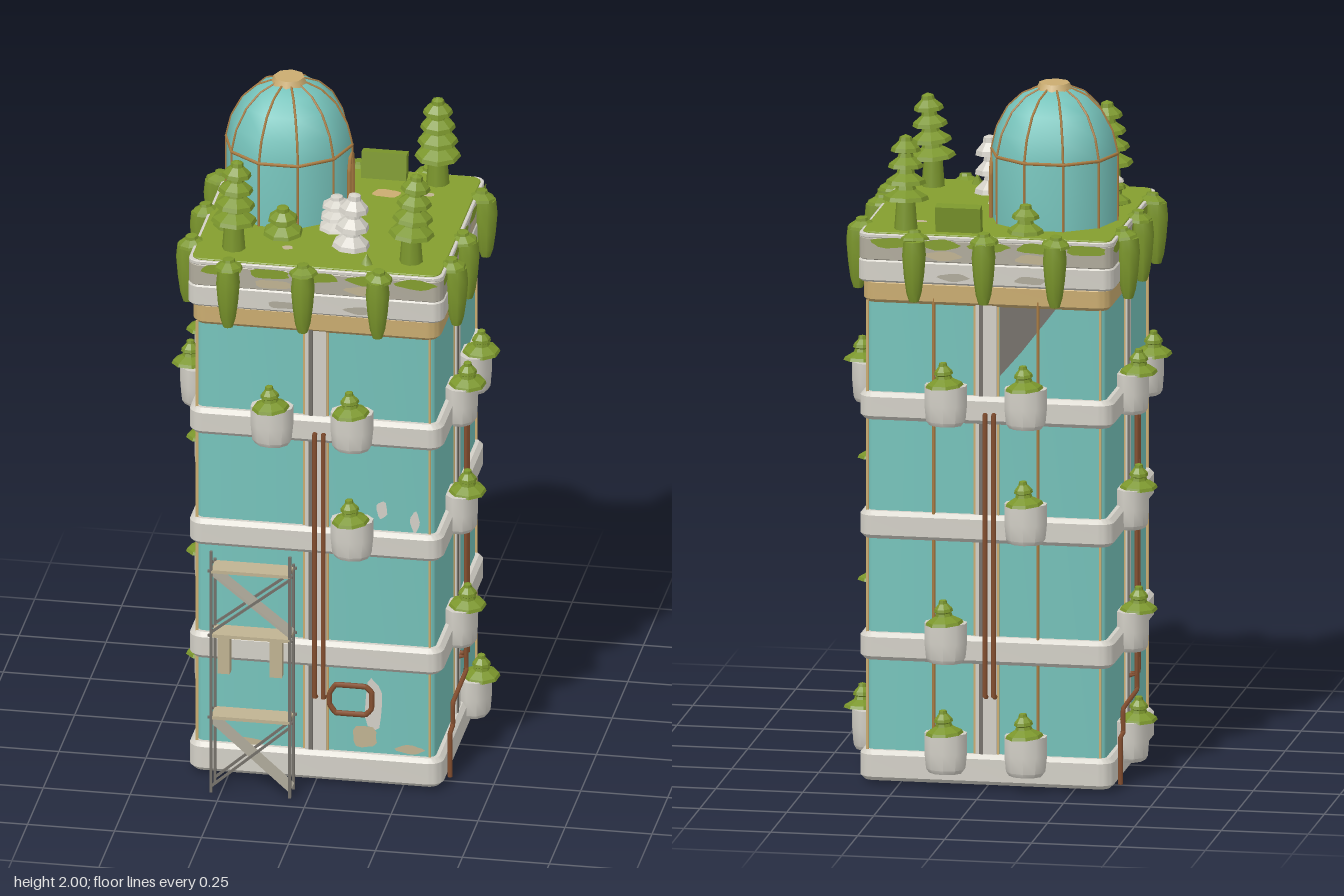
import * as THREE from 'three';
import { toCreasedNormals } from 'three/addons/utils/BufferGeometryUtils.js';

const mat = (name, color) => Object.assign(new THREE.MeshStandardMaterial({ color }), { name });
const M = {
  teal: mat('teal wall', 0x76c3bb),
  stone: mat('pale stone', 0xd3d0c7),
  grey: mat('warm grey stone', 0xb0ab9c),
  gold: mat('sandy gold', 0xcaac70),
  bronze: mat('bronze trim', 0xaa7c42),
  copper: mat('copper pipe', 0x865030),
  moss: mat('roof moss', 0x849e2e),
  leaf: mat('leaf green', 0x7b962c),
  wood: mat('weathered wood', 0xc0b392),
  steel: mat('dark steel', 0x75716a),
};
const CZ = -0.018;   // centre of the tower in z
const WALL = 0.342;  // half width of the tower
const DZ = 0.015;    // the tower is this much shallower on the front and back

function add(parent, name, geo, material, x = 0, y = 0, z = 0) {
  const m = new THREE.Mesh(geo, material);
  m.name = name;
  m.position.set(x, y, z);
  parent.add(m);
  return m;
}
const box = (p, name, m, w, h, d, x, y, z) => add(p, name, new THREE.BoxGeometry(w, h, d), m, x, y, z);

// Slab with rounded corners and bevelled rims
function slab(p, name, m, half, y0, y1, r = 0.03, b = 0.008) {
  const s = new THREE.Shape(), h = half - b;
  [[1, 1], [-1, 1], [-1, -1], [1, -1]].forEach(([x, y], i) =>
    s.absarc(x * (h - r), y * (h - DZ - r), r, i * Math.PI / 2, (i + 1) * Math.PI / 2));
  const g = new THREE.ExtrudeGeometry(s, { depth: y1 - y0 - 2 * b, bevelThickness: b, bevelSize: b, bevelSegments: 1, bevelEnabled: b > 0, curveSegments: 4 });
  g.rotateX(-Math.PI / 2);
  return add(p, name, toCreasedNormals(g, 0.6), m, 0, y0 + b, CZ);
}

function pipe(p, name, m, pts, r, closed = false) {
  const c = new THREE.CatmullRomCurve3(pts.map(a => new THREE.Vector3(...a)), closed, 'catmullrom', 0.08);
  return add(p, name, new THREE.TubeGeometry(c, pts.length * 8, r, 6, closed), m);
}

function beam(p, name, m, a, b, w, d) {
  const A = new THREE.Vector3(...a), B = new THREE.Vector3(...b), v = B.clone().sub(A);
  const mesh = add(p, name, new THREE.BoxGeometry(w, v.length(), d), m);
  mesh.position.copy(A.add(B).multiplyScalar(0.5));
  mesh.quaternion.setFromUnitVectors(new THREE.Vector3(0, 1, 0), v.normalize());
}

const lathe = (pts, n, crease) =>
  toCreasedNormals(new THREE.LatheGeometry(pts.map(a => new THREE.Vector2(...a)), n), crease);

// Flaky thin patch with an irregular outline, facing +z
function patch(p, m, w, h, x, y, z, seed) {
  const pts = [];
  for (let i = 0; i < 14; i++) {
    const a = i / 14 * Math.PI * 2, k = 0.9 + 0.1 * Math.sin(i * 1.7 + seed * 5.1);
    pts.push(new THREE.Vector2(Math.cos(a) * w / 2 * k, Math.sin(a) * h / 2 * k));
  }
  return add(p, 'wornPatch', new THREE.ShapeGeometry(new THREE.Shape(pts)), m, x, y, z);
}

// Layers of drooping leaves, narrowing to the top by the taper
function tiers(p, name, m, x, y, z, r, h, n, taper) {
  const pts = [[0.0001, 0], [r * 0.4, 0]];
  for (let i = 0; i < n; i++) {
    const k = r * (1 - taper * i / Math.max(n - 1, 1)), y0 = h * i / n;
    pts.push([k, y0 + h * 0.1 / n], [k * 0.93, y0 + h * 0.35 / n], [k * 0.45, y0 + h * 0.75 / n], [k * 0.4, y0 + h / n]);
  }
  pts.push([0.0001, h * 1.04]);
  const mesh = add(p, name, lathe(pts, 8, 0.3), m, x, y, z);
  mesh.rotation.set(0.1 * Math.sin(x * 40), x * 9 + z * 7 + y, 0.1 * Math.cos(z * 40));
}

function pot(p, u, y) {
  const g = new THREE.Group();
  g.name = 'planter';
  g.position.set(u, y, 0.38);
  const cup = add(g, 'pot', lathe([[0.0001, 0], [0.048, 0], [0.057, 0.012], [0.062, 0.06], [0.062, 0.116], [0.052, 0.116], [0.0001, 0.11]], 10, 0.7), M.stone);
  cup.scale.z = 0.78;
  tiers(g, 'potPlant', M.leaf, 0, 0.112, 0.018, 0.054, 0.072, 2, 0.5);
  p.add(g);
}

function hangingPlant(p, u) {
  add(p, 'hangingVine', lathe([[0.0001, 0], [0.014, 0.004], [0.022, 0.03], [0.029, 0.08], [0.034, 0.14], [0.03, 0.18], [0.0001, 0.19]], 10, 0.9), M.leaf, u, 1.412, 0.388);
  tiers(p, 'vineCrown', M.leaf, u, 1.588, 0.375, 0.042, 0.032, 1, 0.5);
}

// One side of the tower, built facing +z and turned into place
function side(root, name, turn, pots, vines) {
  const g = new THREE.Group();
  g.name = name;
  g.position.z = CZ - [DZ, 0, -DZ, 0][turn];
  g.rotation.y = turn * Math.PI / 2;
  root.add(g);
  box(g, 'pilaster', M.stone, 0.06, 1.32, 0.016, 0, 0.75, WALL);
  box(g, 'pilasterGroove', M.steel, 0.012, 1.32, 0.004, -0.014, 0.75, WALL + 0.009);
  for (const u of [-0.034, 0.034, 0.327]) box(g, 'goldStrip', M.gold, 0.006, 1.31, 0.008, u, 0.75, WALL);
  for (const [y, ...us] of pots) us.forEach(u => pot(g, u, y));
  vines.forEach(u => hangingPlant(g, u));
  [0.001, 0.026].forEach(u => pipe(g, 'downPipe', M.copper,
    [[u, 1.09, 0.33], [u, 1.09, 0.372], [u, 0.6, 0.372], [u, 0.27, 0.372], [u, 0.27, 0.33]], 0.007));
  // Moss and wear along the cornice
  for (let i = 0; i < 5; i++) {
    patch(g, M.moss, 0.13, 0.034, -0.27 + i * 0.14, 1.578, 0.367, i + turn);
    if (i % 2) patch(g, M.wood, 0.12, 0.03, -0.25 + i * 0.13, 1.546, 0.3665, i + turn);
    if (i % 2) patch(g, M.grey, 0.1, 0.025, -0.2 + i * 0.11, 1.485, 0.3685, i + turn);
  }
  return g;
}

export function createModel() {
  const root = new THREE.Group();
  root.name = 'gardenTower';

  // Tower body, floor bands, cornice and roof
  slab(root, 'walls', M.teal, WALL, 0.05, 1.45, 0.02, 0);
  slab(root, 'base', M.stone, 0.365, 0.012, 0.1, 0.03, 0.012);
  for (const y of [0.362, 0.715, 1.06]) slab(root, 'floorBand', M.stone, 0.365, y, y + 0.08, 0.03, 0.012);
  slab(root, 'goldCornice', M.gold, 0.356, 1.4, 1.468, 0.03, 0.01);
  slab(root, 'cornice', M.stone, 0.368, 1.462, 1.528, 0.03, 0.006);
  slab(root, 'parapet', M.grey, 0.366, 1.525, 1.592, 0.03, 0.004);
  slab(root, 'parapetRim', M.stone, 0.366, 1.59, 1.602, 0.03, 0.002);
  slab(root, 'mossRoof', M.moss, 0.357, 1.59, 1.606, 0.03, 0.002);

  // Underside plate with pale seams
  box(root, 'basePlate', M.grey, 0.66, 0.004, 0.63, 0, 0.011, CZ);
  box(root, 'baseSeam', M.stone, 0.66, 0.004, 0.014, 0, 0.009, CZ);
  box(root, 'baseSeam', M.steel, 0.01, 0.003, 0.63, 0, 0.009, CZ);

  // Four sides: pots listed as [height, offsets], then hanging vines
  const [r1, r2, r3, r4] = [0.05, 0.37, 0.725, 1.06];
  const front = side(root, 'frontSide', 0, [[r4, -0.12, 0.11], [r3, 0.11]], [-0.245, -0.03, 0.185]);
  const plusX = side(root, 'leftSide', 1, [[r4, -0.12, 0.1], [r3, -0.12], [r2, -0.12], [r1, 0.1]], [-0.243, -0.06, 0.225]);
  const back = side(root, 'backSide', 2, [[r4, -0.11, 0.12], [r3, 0.12], [r2, -0.11], [r1, -0.11, 0.12]], [-0.2, 0, 0.205]);
  const minusX = side(root, 'rightSide', 3, [[r4, -0.11, 0.12], [r3, -0.11], [r2, -0.11], [r1, -0.11]], [-0.22, 0, 0.22]);

  // Low pipe runs, pipe loop and thin back rods
  for (const g of [plusX, minusX]) pipe(g, 'drainPipe', M.copper,
    [[0.001, 0.29, 0.372], [0.001, 0.225, 0.372], [-0.21, 0.22, 0.372], [-0.21, 0.15, 0.372], [-0.255, 0.145, 0.372], [-0.255, 0.01, 0.372]], 0.007);
  pipe(front, 'pipeLoop', M.copper, [[0.06, 0.225, 0.36], [0.145, 0.225, 0.36], [0.163, 0.245, 0.36], [0.163, 0.295, 0.36],
    [0.145, 0.312, 0.36], [0.06, 0.312, 0.36], [0.042, 0.285, 0.36], [0.042, 0.25, 0.36]], 0.008, true);
  for (const u of [-0.15, 0.15]) pipe(back, 'goldRod', M.bronze, [[u, 0.1, 0.352], [u, 0.7, 0.352], [u, 1.42, 0.352]], 0.005);
  const gap = new THREE.Shape([[0.04, 1.4], [0.04, 1.2], [0.1, 1.27], [0.2, 1.4]].map(a => new THREE.Vector2(...a)));
  add(back, 'brokenPanel', new THREE.ShapeGeometry(gap), M.steel, 0, 0, WALL + 0.002);

  // Worn wall patches
  const zw = WALL + 0.003;
  [[0.055, 0.18, 0.165, 0.25, M.stone], [0.08, 0.08, 0.14, 0.15, M.wood], [0.035, 0.06, 0.19, 0.86, M.stone],
    [0.03, 0.07, 0.285, 0.83, M.stone], [0.09, 0.03, 0.27, 0.12, M.wood], [0.1, 0.025, -0.2, 0.11, M.wood]].forEach(([w, h, x, y, m], i) =>
    patch(front, m, w, h, x, y, zw + i * 0.0005, i));
  patch(plusX, M.stone, 0.03, 0.08, 0.17, 0.17, zw, 2);
  patch(plusX, M.stone, 0.01, 0.04, 0.165, 0.97, zw, 4);

  // Domed pavilion
  const dome = new THREE.Group();
  dome.name = 'dome';
  dome.position.set(-0.15, 1.6, -0.094);
  root.add(dome);
  const prof = [[0.181, 0], [0.181, 0.2], [0.166, 0.265], [0.134, 0.325], [0.092, 0.365], [0.045, 0.385]];
  const shell = add(dome, 'domeShell', lathe([...prof, [0.0001, 0.388]], 10, 0.7), M.teal);
  shell.rotation.y = Math.PI / 2;
  for (let i = 0; i < 10; i++) {
    const a = i / 10 * Math.PI * 2;
    pipe(dome, 'domeRib', M.bronze, prof.map(([r, y]) => [r * Math.cos(a), y, r * Math.sin(a)]), 0.0035);
  }
  const ring = add(dome, 'domeRing', new THREE.TorusGeometry(0.181, 0.005, 6, 10), M.bronze, 0, 0.2, 0);
  ring.rotation.x = Math.PI / 2;
  add(dome, 'domeCap', new THREE.CylinderGeometry(0.044, 0.053, 0.022, 8), M.gold, 0, 0.389, 0);
  pipe(dome, 'doorFrame', M.bronze, [[0.178, 0, -0.03], [0.178, 0.13, -0.03], [0.178, 0.165, -0.018], [0.178, 0.178, 0],
    [0.178, 0.165, 0.018], [0.178, 0.13, 0.03], [0.178, 0, 0.03]], 0.006);

  // Roof garden: tall trees, bushes, stone stacks, hedge
  for (const [x, z] of [[-0.25, 0.235], [0.26, 0.235], [0.24, -0.3]]) {
    add(root, 'treeTrunk', new THREE.CylinderGeometry(0.026, 0.034, 0.1, 8), M.leaf, x, 1.65, z);
    tiers(root, 'tree', M.leaf, x, 1.685, z, 0.066, 0.185, 4, 0.35);
  }
  for (const [x, z, r] of [[-0.105, -0.305, 0.053], [-0.13, 0.115, 0.058], [-0.29, 0.085, 0.048]])
    tiers(root, 'bush', M.leaf, x, 1.605, z, r, 0.085, 2, 0.25);
  tiers(root, 'bushTop', M.stone, -0.29, 1.67, 0.085, 0.028, 0.03, 1, 0);
  for (const [x, z, h] of [[0.015, 0.05, 0.1], [0.075, 0.175, 0.165]]) tiers(root, 'stoneStack', M.stone, x, 1.605, z, 0.055, h, 3, 0.2);
  const hedge = box(root, 'hedge', M.leaf, 0.13, 0.08, 0.034, 0.085, 1.642, -0.315);
  hedge.rotation.x = -0.15;
  add(root, 'sprout', new THREE.ConeGeometry(0.02, 0.035, 5), M.leaf, 0.14, 1.62, 0.275);
  [[0.09, 0.06, 0.11, -0.2, M.gold], [0.06, 0.03, 0.22, -0.212, M.wood], [0.035, 0.03, -0.1, 0.21, M.wood]].forEach(([w, h, x, z, m], i) => {
    patch(root, m, w, h, x, 1.6075, z, i).rotation.x = -Math.PI / 2;
  });

  // Scaffold
  const sc = new THREE.Group();
  sc.name = 'scaffold';
  root.add(sc);
  const [xa, xb, za, zb] = [-0.278, -0.052, 0.38, 0.442];
  for (const x of [xa, xb]) for (const z of [za, zb]) box(sc, 'post', M.steel, 0.008, z === zb ? 0.75 : 0.7, 0.008, x, z === zb ? 0.377 : 0.352, z);
  for (const y of [0.235, 0.49, 0.69]) {
    box(sc, 'deck', M.wood, 0.226, 0.01, 0.07, -0.165, y, 0.411);
    for (const z of [za, zb]) box(sc, 'rail', M.steel, 0.245, 0.007, 0.007, -0.165, y, z);
  }
  for (const [y0, y1] of [[0.02, 0.22], [0.5, 0.68]]) {
    beam(sc, 'rampPlank', M.grey, [xa, y1, 0.411], [xb, y0, 0.411], 0.008, 0.055);
    for (const z of [za, zb]) beam(sc, 'brace', M.steel, [xa, y0, z], [xb, y1, z], 0.007, 0.007);
  }
  for (const x of [-0.245, -0.095]) box(sc, 'hangingPlank', M.wood, 0.035, 0.12, 0.03, x, 0.425, 0.411);
  return root;
}
